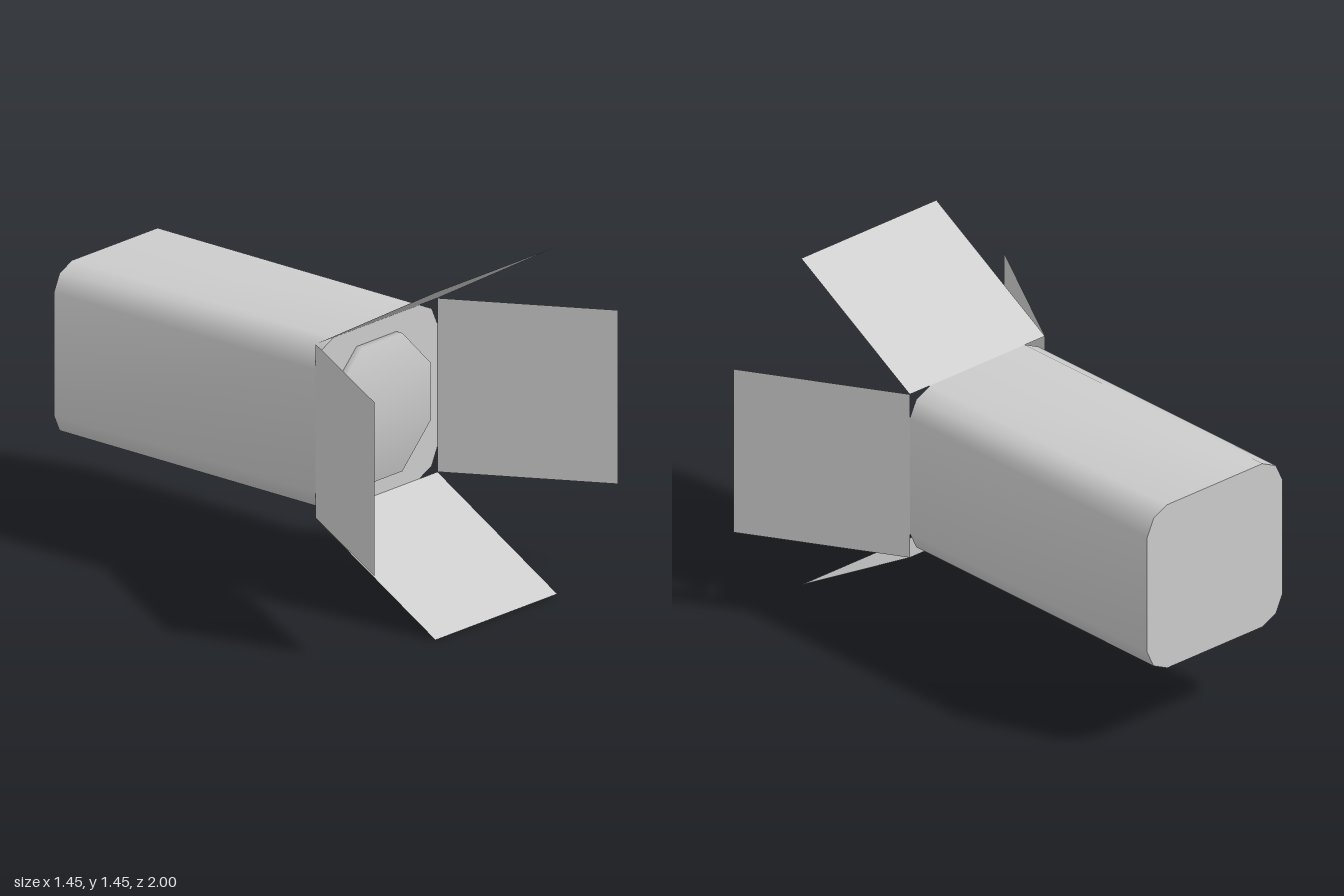
import * as THREE from 'three';
import { mergeVertices, toCreasedNormals } from 'three/addons/utils/BufferGeometryUtils.js';

const HALF = 0.3625;   // half width of the housing
const AXIS_Y = 0.725;  // height of the lamp axis
const FRONT = 0.373;   // z of the housing's front face
const BACK = -1;

export function createModel() {
  const model = new THREE.Group();
  model.name = 'spotlight';
  const grey = new THREE.MeshStandardMaterial({ color: 0xcccccc });
  const thin = new THREE.MeshStandardMaterial({ color: 0xcccccc, side: THREE.DoubleSide });

  const add = (name, geometry, material, parent = model) => {
    const mesh = new THREE.Mesh(geometry, material);
    mesh.name = name;
    parent.add(mesh);
    return mesh;
  };

  // Housing: square section with two-point rounded corners, smooth sides, sharp ends
  const corner = [[HALF, 0.255], [0.328, 0.328], [0.255, HALF]];
  const outline = [];
  for (let i = 0; i < 4; i++) {
    for (const [x, y] of corner) {
      outline.push(new THREE.Vector2(x, y).rotateAround(new THREE.Vector2(), i * Math.PI / 2));
    }
  }
  const body = new THREE.ExtrudeGeometry(new THREE.Shape(outline), {
    depth: FRONT - BACK, bevelEnabled: false, steps: 1,
  });
  add('housing', toCreasedNormals(body, Math.PI / 3), grey).position.set(0, AXIS_Y, BACK);

  // Lens: shallow octagonal disc with normals blended over its rim
  const depth = 0.06;
  let lens = new THREE.CylinderGeometry(0.312, 0.312, depth, 8, 1);
  lens.rotateY(Math.PI / 8).rotateX(Math.PI / 2);
  lens.deleteAttribute('normal');
  lens.deleteAttribute('uv');
  lens = mergeVertices(lens);
  lens.computeVertexNormals();
  add('lens', lens, grey).position.set(0, AXIS_Y, FRONT);

  // Barn doors: four square flaps hinged on the front edges, splayed 30 degrees
  const flap = new THREE.PlaneGeometry(2 * HALF, 2 * HALF);
  flap.translate(0, HALF, 0).rotateX(Math.PI / 3);
  ['top', 'right', 'bottom', 'left'].forEach((side, i) => {
    const hinge = new THREE.Group();
    hinge.name = side + 'Hinge';
    hinge.position.set(0, AXIS_Y, FRONT);
    hinge.rotation.z = i * Math.PI / 2;
    add(side + 'Flap', flap, thin, hinge).position.y = HALF;
    model.add(hinge);
  });

  return model;
}
